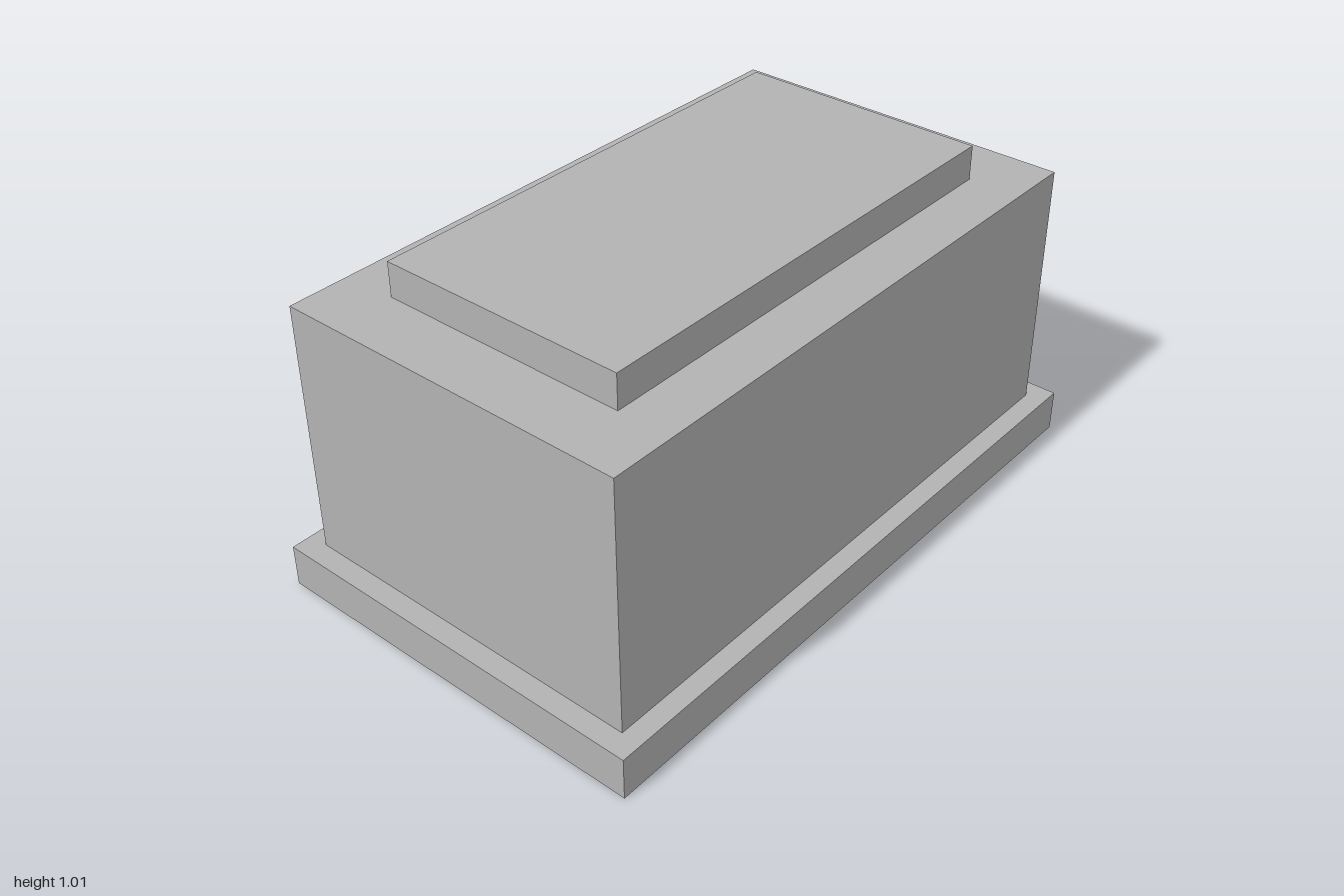
import * as THREE from 'three';

export function createModel() {
  const model = new THREE.Group();
  model.name = 'building';
  const grey = new THREE.MeshStandardMaterial({ color: 0xb2b2b2 });
  grey.name = 'plain grey';

  // Box given by its extents on each axis
  const addBox = (name, [x0, x1], [y0, y1], [z0, z1]) => {
    const mesh = new THREE.Mesh(new THREE.BoxGeometry(x1 - x0, y1 - y0, z1 - z0), grey);
    mesh.position.set((x0 + x1) / 2, (y0 + y1) / 2, (z0 + z1) / 2);
    mesh.name = name;
    model.add(mesh);
  };

  // Stacked plinth, body and roof slab
  addBox('plinth', [-1, 1], [0, 0.13], [-0.612, 0.612]);
  addBox('body', [-0.935, 0.935], [0.13, 0.905], [-0.55, 0.55]);
  addBox('roofSlab', [-0.742, 0.742], [0.905, 1.01], [-0.387, 0.387]);

  // Row of four raised panels on the back wall
  for (let i = 0; i < 4; i++) {
    const x = -0.581 + i * 0.387;
    addBox(`backPanel${i + 1}`, [x - 0.161, x + 0.161], [0.23, 0.743], [-0.57, -0.55]);
  }

  // Smaller plate overlapping the end panel
  addBox('sidePlate', [0.677, 0.868], [0.325, 0.646], [-0.574, -0.55]);

  return model;
}
